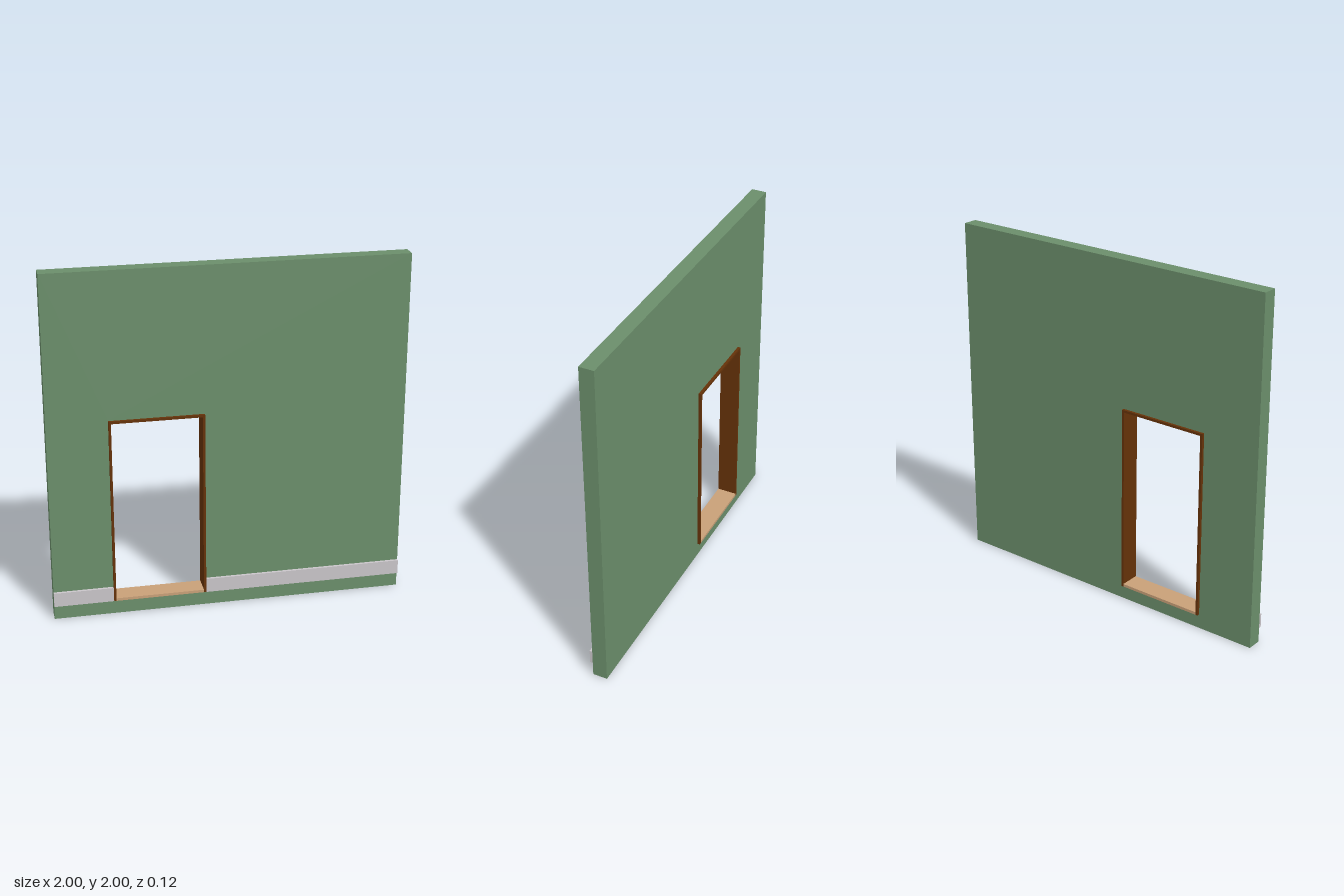
import * as THREE from 'three';

const material = (name, color) => {
  const m = new THREE.MeshStandardMaterial({ color });
  m.name = name;
  return m;
};

export function createModel() {
  const green = material('wallGreen', 0x6b8e6b);
  const brown = material('darkWood', 0x653208);
  const tan = material('lightWood', 0xc8a078);
  const grey = material('skirtingGrey', 0xc9c5c9);

  const group = new THREE.Group();
  group.name = 'wallWithDoorway';

  const wallDepth = 0.084, frameDepth = 0.116, board = 0.0135;
  const left = -0.664, right = -0.136, bottom = 0.084, top = 1.167;

  // Box given by its limits in x, y and z
  const box = (name, mat, x0, x1, y0, y1, z0, z1) => {
    const mesh = new THREE.Mesh(new THREE.BoxGeometry(x1 - x0, y1 - y0, z1 - z0), mat);
    mesh.position.set((x0 + x1) / 2, (y0 + y1) / 2, (z0 + z1) / 2);
    mesh.name = name;
    group.add(mesh);
  };

  // Wall panel with a doorway cut through it
  const shape = new THREE.Shape();
  shape.moveTo(-1, 0).lineTo(1, 0).lineTo(1, 2).lineTo(-1, 2).closePath();
  const hole = new THREE.Path();
  hole.moveTo(left, bottom).lineTo(left, top).lineTo(right, top).lineTo(right, bottom).closePath();
  shape.holes.push(hole);
  const wallGeometry = new THREE.ExtrudeGeometry(shape, { depth: wallDepth, bevelEnabled: false });
  wallGeometry.translate(0, 0, -wallDepth / 2);
  const wall = new THREE.Mesh(wallGeometry, green);
  wall.name = 'wall';
  group.add(wall);

  // Door frame: two jambs, a head and a lighter threshold
  const f = frameDepth / 2;
  box('rightJamb', brown, left, left + board, bottom, top, -f, f);
  box('leftJamb', brown, right - board, right, bottom, top, -f, f);
  box('frameHead', brown, left + board, right - board, top - board, top, -f, f);
  box('threshold', tan, left + board, right - board, bottom, bottom + 0.016, -f, f);

  // Skirting board along the front, broken by the doorway
  box('rightSkirting', grey, -1, left, bottom, 0.167, wallDepth / 2, f);
  box('leftSkirting', grey, right, 1, bottom, 0.167, wallDepth / 2, f);

  return group;
}
